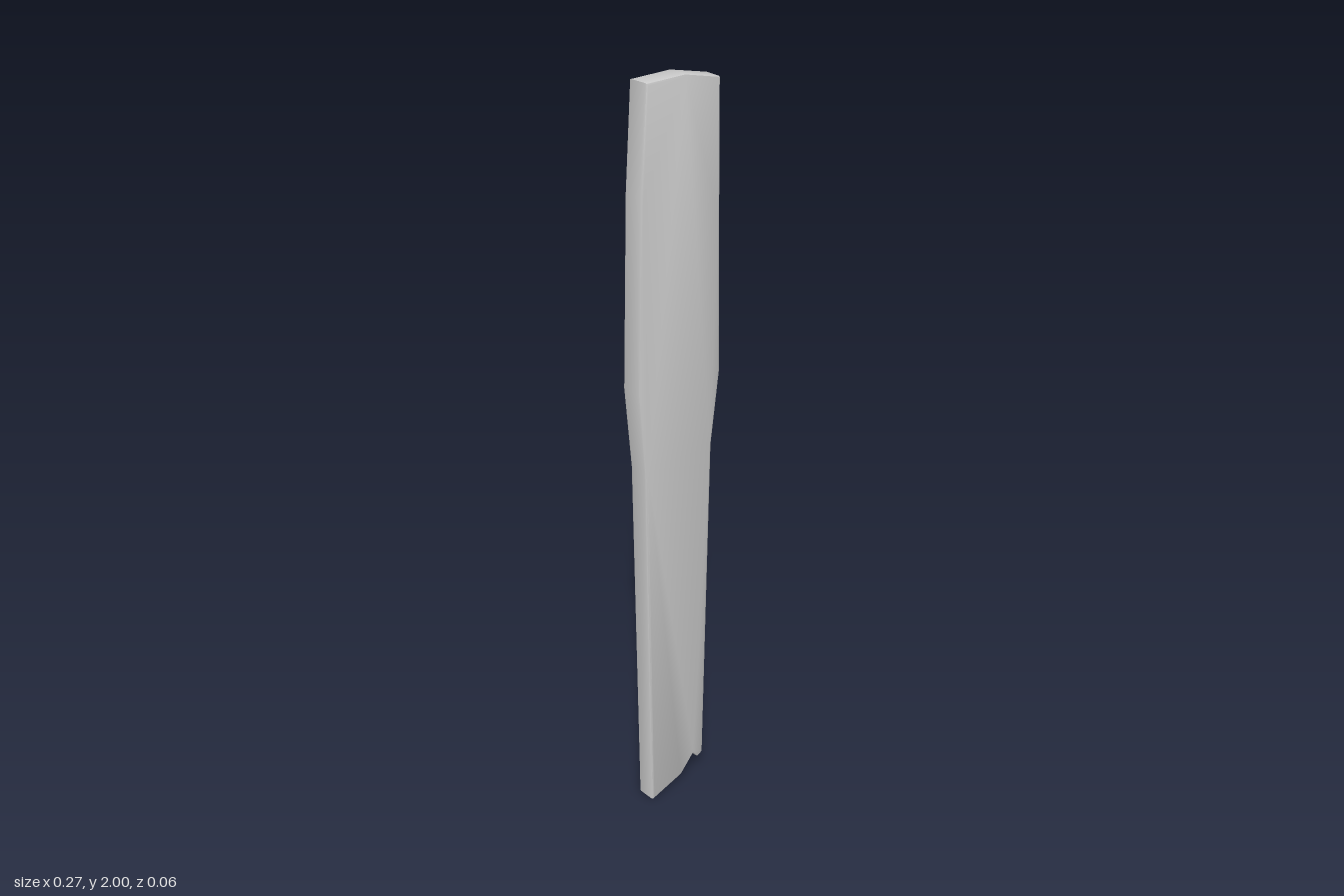
import * as THREE from 'three';
import { toCreasedNormals } from 'three/addons/utils/BufferGeometryUtils.js';

export function createModel() {
  const group = new THREE.Group();
  group.name = 'brokenPlank';

  // Plank outline, counter-clockwise from the splintered lower end
  const outline = [
    [-0.104, 0.0], [0.005, 0.027], [0.05, 0.075], [0.068, 0.055], [0.087, 0.063],
    [0.108, 1.05], [0.134, 1.25], [0.126, 1.65], [0.121, 1.975],
    [0.01, 2.0], [-0.105, 2.0], [-0.123, 1.75], [-0.138, 1.27], [-0.118, 1.05],
  ].map(([x, y]) => new THREE.Vector2(x, y));

  // Thin slab with softened edges
  const bevel = 0.006, thickness = 0.056;
  const slab = new THREE.ExtrudeGeometry(new THREE.Shape(outline), {
    depth: thickness - 2 * bevel,
    bevelThickness: bevel,
    bevelSize: bevel,
    bevelOffset: -bevel,
    bevelSegments: 2,
  });
  slab.translate(0, 0, bevel - thickness / 2);

  // The left edge is cut slightly askew, wider towards the back
  const p = slab.attributes.position;
  for (let i = 0; i < p.count; i++) {
    if (p.getX(i) > 0.07 && p.getY(i) > 0.3) p.setX(i, p.getX(i) - p.getZ(i) * 0.1);
  }

  const plank = new THREE.Mesh(
    toCreasedNormals(slab, 0.75),
    new THREE.MeshStandardMaterial({ color: 0xcccccc }),
  );
  plank.name = 'plank';
  group.add(plank);
  return group;
}
